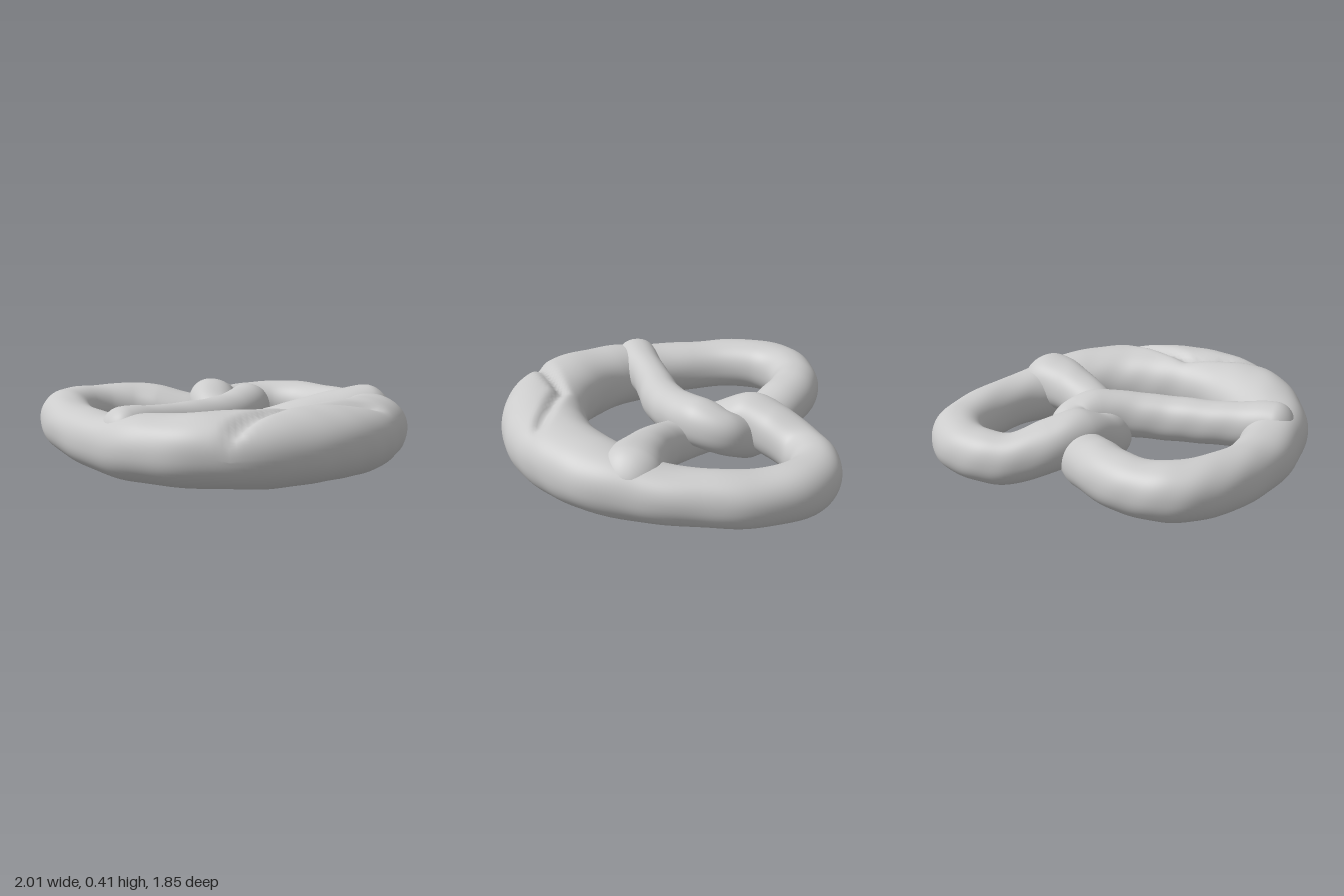
import * as THREE from 'three';

// Half thickness follows the half width
const halfHeight = (w) => 0.05 + 0.64 * w;

// Half of the thick body and one loop: x, z, half width
const HALF_RING = [
  [0.40, 0.575, 0.228],
  [0.66, 0.35, 0.205],
  [0.785, 0.10, 0.17],
  [0.845, -0.16, 0.149],
  [0.85, -0.40, 0.146],
  [0.79, -0.62, 0.146],
  [0.67, -0.745, 0.145],
  [0.50, -0.783, 0.138],
  [0.33, -0.745, 0.138],
];

// The left half rests on the ground; the right loop is raised a little and fuller
const leftStation = ([x, z, w]) => [x, z, w, halfHeight(w) + 0.01];
const rightStation = ([x, z, w]) => {
  const lift = 1 - THREE.MathUtils.smoothstep(z, -0.6, 0.4);
  return [-x, z, w + 0.006 * lift, halfHeight(w) + 0.015 + 0.06 * lift];
};

// Right arm from its tip over the ring, round the twist, to its loop: x, z, half width, height
const RIGHT_ARM = [
  [-0.885, 0.195, 0.115, 0.255],
  [-0.77, 0.17, 0.122, 0.27],
  [-0.46, 0.08, 0.11, 0.25],
  [-0.18, 0.015, 0.115, 0.24],
  [0.03, -0.08, 0.125, 0.25],
  [0.17, -0.20, 0.13, 0.255],
  [0.215, -0.33, 0.12, 0.22],
  [0.12, -0.44, 0.12, 0.155],
  [-0.05, -0.555, 0.14, 0.16],
  [-0.19, -0.665, 0.148, 0.20],
];

// Left arm from its loop, over and under the twist, to its tip
const LEFT_ARM = [
  [0.18, -0.61, 0.148, 0.21],
  [0.07, -0.45, 0.14, 0.245],
  [0.04, -0.28, 0.13, 0.18],
  [0.13, -0.09, 0.12, 0.14],
  [0.32, 0.04, 0.122, 0.18],
  [0.54, 0.12, 0.14, 0.225],
  [0.75, 0.17, 0.17, 0.235],
  [0.91, 0.205, 0.155, 0.21],
];

const STATIONS = [
  ...RIGHT_ARM,
  ...HALF_RING.map(rightStation).reverse(),
  [0, 0.683, 0.239, 0.215],
  ...HALF_RING.map(leftStation),
  ...LEFT_ARM,
];

const STEPS = 14; // rings per station
const SIDES = 72;

const squarish = (v) => Math.sign(v) * Math.abs(v) ** 0.93;

// Gentle hand-rolled unevenness
const lumps = (x, y, z) =>
  0.005 * Math.sin(9 * x + 4 * z + 1) * Math.sin(11 * z - 5 * y) +
  0.002 * Math.sin(17 * x - 13 * z) * Math.sin(19 * y + 13 * x);

// Baked split across the top of the body
function split(x, y, z) {
  if (z < 0.4 || y < 0.2) return 0;
  const line = 0.58 + (x < 0.03 ? 0.38 : 0.19) * Math.abs(x - 0.03);
  const fade = 1 - THREE.MathUtils.smoothstep(Math.abs(x), 0.38, 0.56);
  const d = z - line;
  const groove = 0.04 * Math.exp(-((d / 0.036) ** 2));
  const ledge = d > 0 ? 0.01 * Math.exp(-d / 0.2) : 0;
  return fade * (groove + ledge);
}

function ropeGeometry() {
  const path = new THREE.CatmullRomCurve3(STATIONS.map(([x, z, , y]) => new THREE.Vector3(x, y, z)));
  const width = new THREE.SplineCurve(STATIONS.map(([, , w], i) => new THREE.Vector2(i, w)));
  const rings = (STATIONS.length - 1) * STEPS;
  const positions = [];
  const index = [];

  for (let i = 0; i <= rings; i++) {
    const t = i / rings;
    const c = path.getPoint(t);
    const w = width.getPoint(t).y;
    const tangent = path.getTangent(t).setY(0).normalize();
    // rounded tips
    const e = Math.min(1, Math.min(i, rings - i) / STEPS);
    const cap = Math.max(0.01, Math.sqrt(1 - (1 - e) ** 2));
    for (let j = 0; j < SIDES; j++) {
      const a = (j / SIDES) * Math.PI * 2;
      const across = w * cap * squarish(Math.cos(a));
      const up = halfHeight(w) * cap * squarish(Math.sin(a));
      let x = c.x - tangent.z * across;
      let z = c.z + tangent.x * across;
      let y = c.y + up;
      const bump = lumps(x, y, z) * cap;
      x -= tangent.z * bump * Math.cos(a);
      z += tangent.x * bump * Math.cos(a);
      y += bump * Math.sin(a) - split(x, y, z);
      positions.push(x, Math.max(0.006, y), z);
    }
  }
  for (let i = 0; i < rings; i++) {
    for (let j = 0; j < SIDES; j++) {
      const a = i * SIDES + j;
      const b = i * SIDES + ((j + 1) % SIDES);
      index.push(a, a + SIDES, b, b, a + SIDES, b + SIDES);
    }
  }
  const geometry = new THREE.BufferGeometry();
  geometry.setAttribute('position', new THREE.Float32BufferAttribute(positions, 3));
  geometry.setIndex(index);
  geometry.computeVertexNormals();
  return geometry;
}

export function createModel() {
  const group = new THREE.Group();
  group.name = 'pretzel';
  const dough = new THREE.MeshStandardMaterial({ color: 0xcccccc });
  const rope = new THREE.Mesh(ropeGeometry(), dough);
  rope.name = 'twistedDoughRope';
  group.add(rope);
  return group;
}
